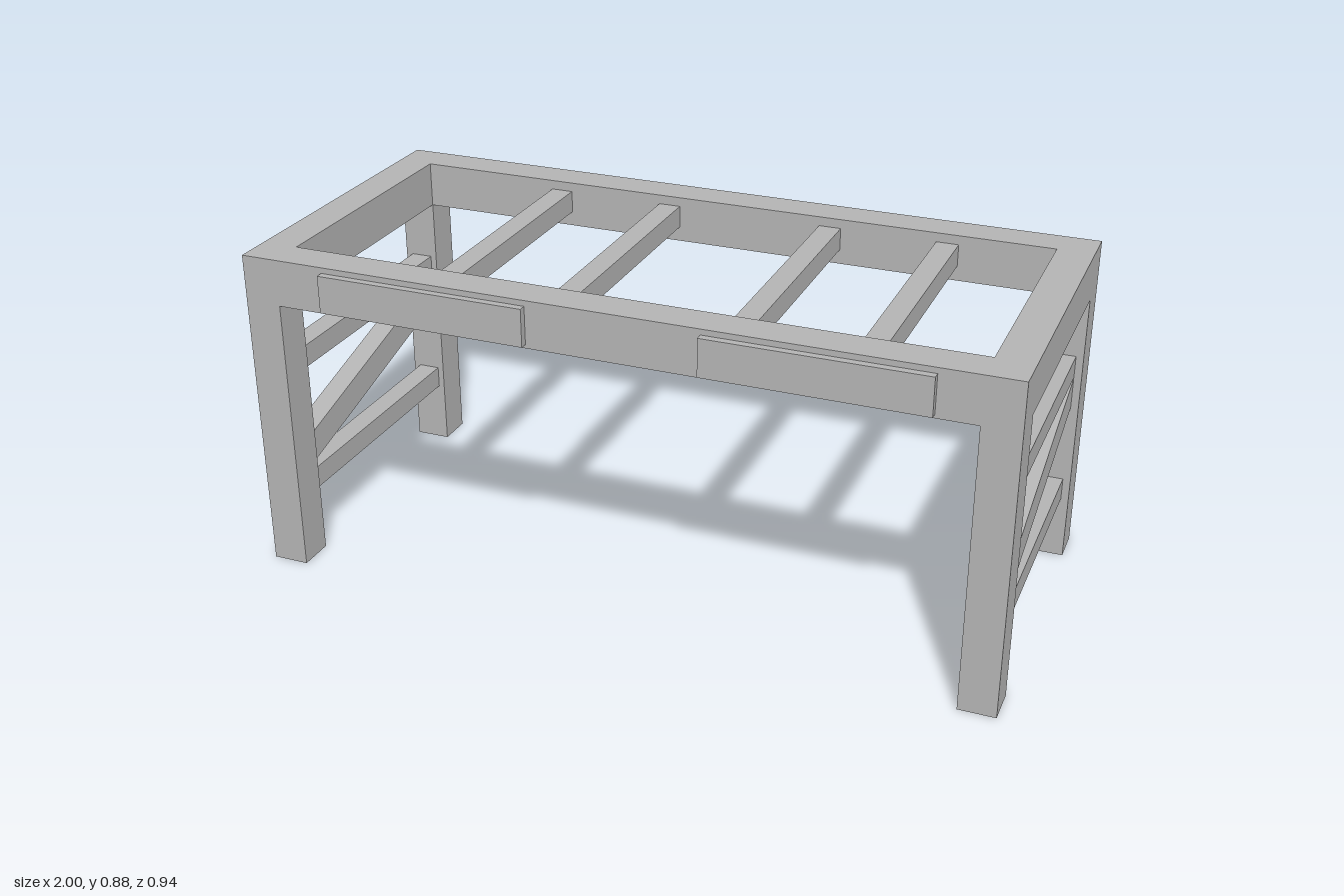
import * as THREE from 'three';

export function createModel() {
  const model = new THREE.Group();
  const grey = new THREE.MeshStandardMaterial({ color: 0xb3b3b3 });
  grey.name = 'plain grey';

  const add = (name, geometry) => {
    const mesh = new THREE.Mesh(geometry, grey);
    mesh.name = name;
    model.add(mesh);
    return mesh;
  };
  // Box given by its lower and upper limits on each axis
  const box = (name, [x0, x1], [y0, y1], [z0, z1]) => {
    const mesh = add(name, new THREE.BoxGeometry(x1 - x0, y1 - y0, z1 - z0));
    mesh.position.set((x0 + x1) / 2, (y0 + y1) / 2, (z0 + z1) / 2);
    return mesh;
  };
  const polygon = (points) => new THREE.Shape(points.map(([x, y]) => new THREE.Vector2(x, y)));

  const top = 0.885, under = 0.76;   // frame heights
  const inX = 0.903, outZ = 0.452, inZ = 0.353;

  // Rectangular top frame, open in the middle
  const outline = polygon([[-1, -outZ], [1, -outZ], [1, outZ], [-1, outZ]]);
  outline.holes.push(polygon([[-inX, -inZ], [-inX, inZ], [inX, inZ], [inX, -inZ]]));
  const frame = new THREE.ExtrudeGeometry(outline, { depth: top - under, bevelEnabled: false });
  frame.rotateX(-Math.PI / 2).translate(0, under, 0);
  add('topFrame', frame);

  // Slats between the long rails
  for (const x of [-0.485, -0.16, 0.3, 0.62]) {
    box('crossSlat', [x - 0.03, x + 0.03], [0.8, 0.86], [-inZ, inZ]);
  }

  for (const side of [-1, 1]) {
    const sorted = (a, b) => [a * side, b * side].sort((p, q) => p - q);

    // Legs
    box('frontLeg', sorted(inX, 1), [0, under], [inZ, outZ]);
    box('backLeg', sorted(inX, 1), [0, under], [-outZ, -inZ]);

    // Level rungs between the legs
    const rungX = sorted(0.92, 0.98);
    box('lowerRung', rungX, [0.173, 0.234], [-inZ, inZ]);
    box('upperRung', rungX, [0.536, 0.597], [-inZ, inZ]);

    // Sloping brace, low at the front and high at the back
    const brace = new THREE.ExtrudeGeometry(
      polygon([[-inZ, 0.253], [inZ, 0.448], [inZ, 0.533], [-inZ, 0.338]]),
      { depth: 0.06, bevelEnabled: false });
    brace.rotateY(Math.PI / 2).translate(rungX[0], 0, 0);
    add('diagonalBrace', brace);

    // Raised panels on the outside of the long rails
    for (const [x0, x1] of [[-0.77, -0.21], [0.24, 0.8]]) {
      box(side > 0 ? 'frontPanel' : 'backPanel', [x0, x1], [0.77, 0.87], sorted(outZ, 0.472));
    }
  }
  return model;
}
